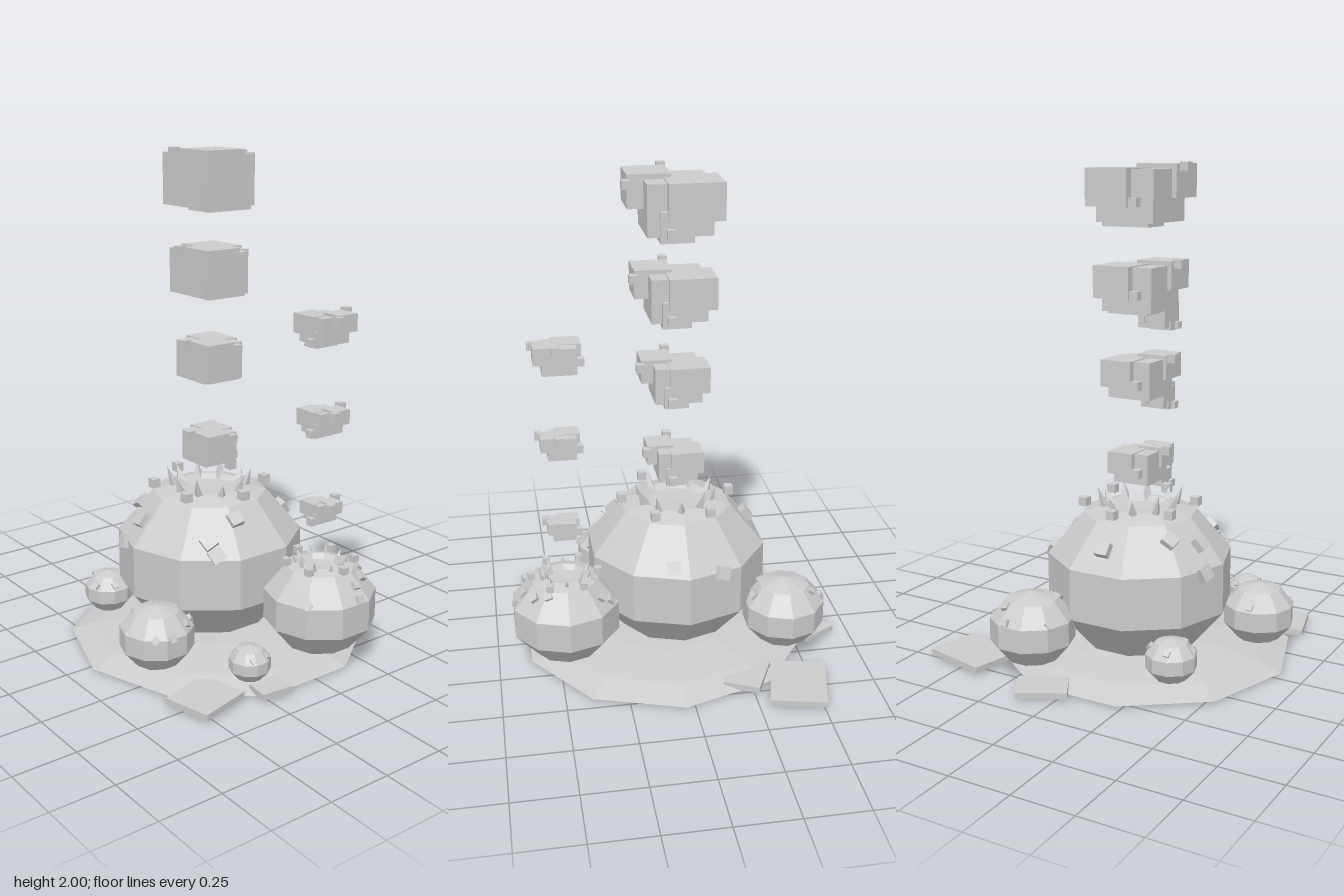
import * as THREE from 'three';

const stone = new THREE.MeshStandardMaterial({ color: 0xcccccc, flatShading: true });
stone.name = 'pale grey stone';

const SQUASH = 0.85;

function add(parent, geometry, name, x = 0, y = 0, z = 0) {
  const mesh = new THREE.Mesh(geometry, stone);
  mesh.name = name;
  mesh.position.set(x, y, z);
  parent.add(mesh);
  return mesh;
}

function addBox(parent, name, [x0, x1], [y0, y1], [z0, z1]) {
  add(parent, new THREE.BoxGeometry(x1 - x0, y1 - y0, z1 - z0), name,
    (x0 + x1) / 2, (y0 + y1) / 2, (z0 + z1) / 2);
}

// Ten-sided squashed ball; an optional crater of radius c replaces its tip
function ballGeometry(r, c = 0) {
  const R = r / Math.cos(Math.PI / 10);
  const points = [-90, -54, -18, 18, 54].map((deg) => {
    const a = THREE.MathUtils.degToRad(deg);
    return new THREE.Vector2(deg === -90 ? 0 : R * Math.cos(a), R * Math.sin(a) * SQUASH);
  });
  const top = R * SQUASH;
  if (c) {
    const ring = points[4];
    const rim = top - (top - ring.y) * c / ring.x;
    points.push(new THREE.Vector2(c, rim), new THREE.Vector2(c * 0.8, rim - 0.02),
      new THREE.Vector2(0, rim - 0.025));
  } else points.push(new THREE.Vector2(0, top));
  return new THREE.LatheGeometry(points, 10);
}

// Pebbles sit on the ball surface, at offsets [dx, dz] seen from above
function addPebbles(parent, r, size, offsets) {
  for (const [dx, dz] of offsets) {
    const d = Math.min(Math.hypot(dx, dz) / r, 0.98);
    const y = r * SQUASH * Math.sqrt(1 - d * d);
    const pebble = add(parent, new THREE.BoxGeometry(size, size * 0.7, size), 'pebble', dx, y, dz);
    const normal = new THREE.Vector3(dx, y / SQUASH ** 2, dz).normalize();
    pebble.quaternion.setFromUnitVectors(new THREE.Vector3(0, 1, 0), normal);
  }
}

// Ring of leaning spikes round a crater, with six loose cubes further out
function addCraterRing(parent, count, r, y, h, cubeRadius, cubeY, cubeSize) {
  for (let i = 0; i < count; i++) {
    const pivot = new THREE.Group();
    pivot.name = 'spikePivot';
    pivot.rotation.y = (i / count) * Math.PI * 2;
    parent.add(pivot);
    const height = h * (1 + 0.2 * Math.sin(i * 2.3));
    const spike = add(pivot, new THREE.ConeGeometry(h * 0.26, height, 4), 'spike', 0, y + height * 0.35, r);
    spike.rotation.x = 0.35;
  }
  for (let i = 0; i < 6; i++) {
    const a = (i * Math.PI) / 3;
    add(parent, new THREE.BoxGeometry(cubeSize, cubeSize, cubeSize), 'rimCube',
      cubeRadius * Math.cos(a), cubeY, cubeRadius * Math.sin(a));
  }
}

// Blocky smoke puff: overlapping boxes with small cubes on the outside
function addPuff(parent, x, y, z, s, flip, cube) {
  const puff = new THREE.Group();
  puff.name = 'smokePuff';
  puff.position.set(x, y, z);
  parent.add(puff);
  const boxes = [
    [[-0.128, 0.127], [-0.1, 0.1], [-0.125, 0.125]],
    [[0.02, 0.19], [-0.01, 0.12], [-0.03, 0.145]],
    [[-0.167, 0.05], [-0.04, 0.105], [-0.15, 0.03]],
    [[-0.05, 0.08], [-0.12, 0], [-0.145, 0.06]],
  ];
  for (const [bx, by, bz] of boxes) {
    const depth = bz.map((v) => v * s * flip).sort((a, b) => a - b);
    addBox(puff, 'smokeBlock', bx.map((v) => v * s), by.map((v) => v * s), depth);
  }
  for (const [cx, cy, cz] of [[0.03, 0.11, 0.18], [-0.155, -0.02, 0.06], [0.195, 0.085, -0.035], [0.04, -0.08, -0.155]]) {
    add(puff, new THREE.BoxGeometry(cube, cube, cube), 'smokeCube', cx * s, cy * s, cz * s * flip);
  }
}

export function createModel() {
  const model = new THREE.Group();
  model.name = 'smokingCraters';

  // Low mound with a flat underside
  const mound = [[0, 0.01], [0.61, 0.01], [0.5, 0.045], [0.3, 0.075], [0, 0.085]]
    .map(([x, y]) => new THREE.Vector2(x, y));
  add(model, new THREE.LatheGeometry(mound, 10), 'mound', 0.035, 0, 0.04);

  // Flat slabs round the mound: x, z, width, depth, turn
  for (const [x, z, w, d, turn] of [
    [-0.43, -0.505, 0.225, 0.28, -0.23],
    [-0.57, -0.08, 0.15, 0.2, 0.5],
    [-0.24, -0.41, 0.15, 0.19, -0.45],
    [0.5, 0.45, 0.2, 0.22, 0.25],
    [0.59, 0.21, 0.1, 0.13, -0.1],
  ]) {
    const slab = add(model, new THREE.BoxGeometry(w, 0.025, d), 'slab', x, 0.025, z);
    slab.rotation.y = turn;
  }

  // Balls: the first two carry craters
  const balls = [
    { name: 'mainCrater', at: [-0.02, 0.338, 0.041], r: 0.376, crater: 0.145, size: 0.055,
      pebbles: [[-0.137, -0.33], [0.059, -0.333], [-0.303, 0.007], [0.255, 0.066], [-0.163, 0.222],
        [-0.052, 0.299], [-0.106, 0.344], [0.256, 0.194], [0.295, 0.185]] },
    { name: 'sideCrater', at: [0.466, 0.235, -0.139], r: 0.222, crater: 0.085, size: 0.032,
      pebbles: [[0.076, -0.122], [0.131, -0.096], [0.168, -0.033], [0.202, -0.025], [0.12, 0.167],
        [-0.135, -0.111], [-0.116, -0.033], [-0.175, -0.089]] },
    { name: 'backBall', at: [-0.435, 0.2, -0.212], r: 0.168, size: 0.03,
      pebbles: [[0.13, -0.025], [-0.1, -0.055], [-0.15, -0.025], [-0.08, 0.13], [0.085, 0.065]] },
    { name: 'frontBall', at: [0.216, 0.175, 0.47], r: 0.144, size: 0.026,
      pebbles: [[0.1, -0.07], [0.135, 0.02], [-0.125, 0.015], [0.11, 0.08], [0.05, -0.12]] },
    { name: 'leftSmallBall', at: [0.538, 0.13, 0.27], r: 0.08, size: 0.02,
      pebbles: [[-0.06, -0.02], [0.06, 0.03], [-0.02, 0.065], [0.055, -0.04]] },
    { name: 'rightSmallBall', at: [-0.325, 0.14, 0.348], r: 0.1, size: 0.024,
      pebbles: [[-0.075, 0.02], [-0.03, -0.075], [0.08, 0.02], [0.03, 0.08]] },
  ];
  for (const { name, at, r, crater, size, pebbles } of balls) {
    const group = new THREE.Group();
    group.name = name;
    group.position.set(...at);
    model.add(group);
    add(group, ballGeometry(r, crater), 'ball');
    addPebbles(group, r, size, pebbles);
    if (name === 'mainCrater') addCraterRing(group, 10, 0.155, 0.285, 0.09, 0.226, 0.31, 0.036);
    if (name === 'sideCrater') addCraterRing(group, 10, 0.1, 0.165, 0.05, 0.135, 0.18, 0.028);
  }

  // Rising smoke columns
  for (const [y, s] of [[0.8, 0.62], [1.16, 0.74], [1.515, 0.87], [1.87, 1]]) {
    addPuff(model, -0.02, y, 0.041, s, 1, 0.034);
  }
  for (const [y, s] of [[0.62, 0.36], [0.982, 0.44], [1.342, 0.52]]) {
    addPuff(model, 0.46, y, -0.139, s, -1, 0.03);
  }
  return model;
}
